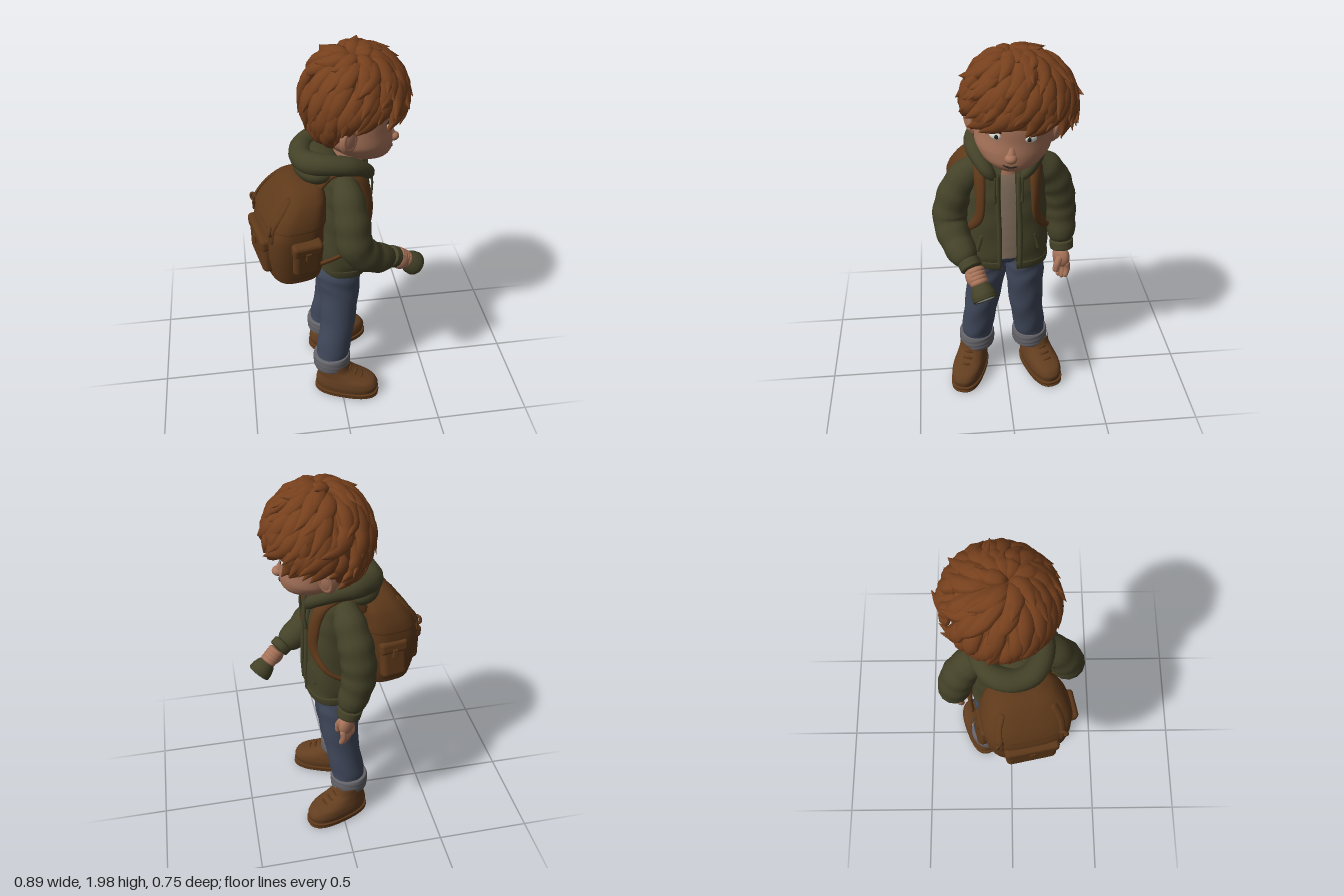
import * as THREE from 'three';
import { mergeVertices } from 'three/addons/utils/BufferGeometryUtils.js';
import { RoundedBoxGeometry } from 'three/addons/geometries/RoundedBoxGeometry.js';

const V = (p) => new THREE.Vector3(...p);
const paint = (name, color, side = THREE.FrontSide) => {
  const m = new THREE.MeshStandardMaterial({ color, side });
  m.name = name;
  return m;
};

function add(parent, name, geo, mat, pos = [0, 0, 0], rot = [0, 0, 0], scale = [1, 1, 1]) {
  const m = new THREE.Mesh(geo, mat);
  m.name = name;
  m.position.set(...pos); m.rotation.set(...rot); m.scale.set(...scale);
  parent.add(m);
}

function group(parent, name, pos, rot = [0, 0, 0]) {
  const g = new THREE.Group();
  g.name = name;
  g.position.set(...pos); g.rotation.set(...rot);
  parent.add(g);
  return g;
}

function smooth(geo) {
  geo.deleteAttribute('normal'); geo.deleteAttribute('uv');
  const g = mergeVertices(geo, 1e-5);
  g.computeVertexNormals();
  return g;
}

// Grid surface from a point rule f(u, v)
function surface(f, nu, nv) {
  const pos = [], idx = [];
  for (let j = 0; j <= nv; j++) for (let i = 0; i <= nu; i++) pos.push(...f(i / nu, j / nv));
  for (let j = 0; j < nv; j++) for (let i = 0; i < nu; i++) {
    const a = j * (nu + 1) + i, b = a + nu + 1;
    idx.push(a, b, a + 1, a + 1, b, b + 1);
  }
  const g = new THREE.BufferGeometry();
  g.setAttribute('position', new THREE.Float32BufferAttribute(pos, 3));
  g.setIndex(idx);
  return smooth(g);
}

// Upright loft through sections [y, cx, cz, rx, rz], listed from the bottom up
function loft(sections, { p = 2, gap = 0, ripple = 0, freq = 40 } = {}) {
  const c = new THREE.CatmullRomCurve3(sections.map((s) => V([s[1], s[0], s[2]])), false, 'catmullrom', 0.4);
  const r = new THREE.CatmullRomCurve3(sections.map((s) => V([s[3], s[4], 0])), false, 'catmullrom', 0.4);
  const pw = (x) => Math.sign(x) * Math.abs(x) ** (2 / p);
  return surface((u, v) => {
    const a = gap + u * (Math.PI * 2 - 2 * gap), o = c.getPoint(v), q = r.getPoint(v);
    const k = 1 + ripple * Math.sin(v * freq + 2 * Math.sin(a * 2));
    return [o.x + Math.max(q.x, 0) * k * pw(Math.cos(a)), o.y, o.z + Math.max(q.y, 0) * k * pw(Math.sin(a))];
  }, 40, sections.length * 6);
}

// Tube of varying radius with rounded ends; can be flattened towards a centre point
function sweep(points, radii, { n = 32, sides = 14, round = 0.08, ripple = 0, flat = null, thin = 0.45 } = {}) {
  const curve = new THREE.CatmullRomCurve3(points.map(V));
  const geo = new THREE.TubeGeometry(curve, n, 1, sides);
  const pos = geo.attributes.position, d = new THREE.Vector3();
  for (let i = 0; i <= n; i++) {
    const u = i / n, P = curve.getPointAt(u), t = u * (radii.length - 1), k = Math.min(Math.floor(t), radii.length - 2);
    let r = THREE.MathUtils.lerp(radii[k], radii[k + 1], t - k) * (1 + ripple * Math.sin(u * 38));
    if (round) r *= Math.sqrt(1 - (1 - Math.min(1, u / round, (1 - u) / round)) ** 2);
    const nrm = flat ? P.clone().sub(V(flat)).normalize() : null;
    for (let j = 0; j <= sides; j++) {
      const id = i * (sides + 1) + j;
      d.fromBufferAttribute(pos, id).sub(P);
      if (nrm) d.addScaledVector(nrm, -(1 - thin) * d.dot(nrm));
      d.multiplyScalar(r).add(P);
      pos.setXYZ(id, d.x, d.y, d.z);
    }
  }
  return smooth(geo);
}

export function createModel() {
  const root = new THREE.Group();
  root.name = 'hikerBoy';
  const skin = paint('skin', 0xa8745a), hairMat = paint('hair', 0x76401d, THREE.DoubleSide);
  const green = paint('jacketGreen', 0x444228, THREE.DoubleSide), brown = paint('packBrown', 0x5e391a);
  const denim = paint('denim', 0x40485b), cuffGrey = paint('cuffGrey', 0x64646a);
  const leather = paint('bootLeather', 0x633e20), knit = paint('shirtKnit', 0x84715f);
  const dark = paint('dark', 0x2b211a), white = paint('paleGlass', 0xdfe8e4);
  const ball = new THREE.SphereGeometry(1, 28, 20);

  // Legs, cuffs and boots, toes turned out
  add(root, 'hips', loft([[0.775, -0.01, 0, 0, 0], [0.78, -0.01, 0, 0.05, 0.06], [0.83, -0.008, 0, 0.098, 0.17],
    [0.93, 0, 0, 0.115, 0.185]]), denim);
  for (const s of [1, -1]) {
    const zo = s > 0 ? 0.006 : 0.012;
    add(root, 'trouserLeg', loft([[0.2, -0.05, s * 0.155 + zo, 0.085, 0.08], [0.3, -0.04, s * 0.15 + zo, 0.092, 0.087],
      [0.5, -0.01, s * 0.125 + zo, 0.094, 0.092], [0.7, -0.002, s * 0.104, 0.108, 0.102], [0.8, -0.01, s * 0.1, 0.117, 0.102],
      [0.9, 0, s * 0.085, 0.1, 0.088]], { ripple: 0.022, freq: 34 }), denim);
    add(root, 'trouserCuff', loft([[0.17, -0.05, s * 0.155 + zo, 0.07, 0.07], [0.172, -0.05, s * 0.155 + zo, 0.098, 0.094],
      [0.21, -0.05, s * 0.155 + zo, 0.103, 0.1], [0.255, -0.05, s * 0.155 + zo, 0.1, 0.096], [0.26, -0.05, s * 0.155 + zo, 0.08, 0.075]],
    { ripple: 0.01 }), cuffGrey);
    const boot = group(root, 'boot', [-0.05, 0, s * 0.178 + zo / 2], [0, -0.34 * s, 0]);
    add(boot, 'sole', loft([[0, 0.085, 0, 0, 0], [0.001, 0.085, 0, 0.17, 0.08], [0.02, 0.085, 0, 0.178, 0.088],
      [0.035, 0.085, 0, 0.176, 0.087], [0.036, 0.085, 0, 0.1, 0.05]], { p: 2.6 }), brown);
    add(boot, 'upper', loft([[0.03, 0.085, 0, 0.17, 0.082], [0.07, 0.085, 0, 0.177, 0.088], [0.105, 0.076, 0, 0.162, 0.084],
      [0.132, 0.045, 0, 0.122, 0.077], [0.165, 0.012, 0, 0.094, 0.072], [0.21, 0, 0, 0.085, 0.07]], { p: 2.4 }), leather);
    for (let i = 0; i < 3; i++) {
      const x = 0.1 + i * 0.033, y = 0.17 - i * 0.018;
      add(boot, 'lace', sweep([[x - 0.015, y - 0.025, -0.05], [x + 0.004, y, 0], [x - 0.015, y - 0.025, 0.05]], [0.007, 0.007], { sides: 8 }), brown);
    }
  }

  // Shirt and open jacket
  add(root, 'shirt', loft([[0.88, 0.015, 0, 0.128, 0.17], [1.1, 0.015, 0, 0.125, 0.18], [1.3, 0.015, 0, 0.112, 0.17],
    [1.38, 0.02, 0, 0.09, 0.12], [1.42, 0.03, 0, 0.075, 0.075], [1.43, 0.03, 0, 0.05, 0.05]], { ripple: 0.008, freq: 110 }), knit);
  const body = [[0.83, 0.022, -0.005, 0.138, 0.2], [0.9, 0.022, 0, 0.144, 0.214], [1.1, 0.02, 0, 0.138, 0.205],
    [1.25, 0.018, 0, 0.132, 0.195], [1.36, 0.01, 0, 0.12, 0.18], [1.43, 0.0, 0, 0.095, 0.14], [1.46, 0, 0, 0.085, 0.1]];
  add(root, 'jacketBody', loft(body, { p: 2.5, gap: 0.12, ripple: 0.012 }), green);
  add(root, 'jacketHem', loft([[0.82, 0.022, -0.005, 0.12, 0.19], [0.825, 0.022, -0.005, 0.14, 0.208],
    [0.865, 0.022, -0.003, 0.146, 0.213], [0.875, 0.022, 0, 0.13, 0.2]], { p: 2.5, gap: 0.12 }), green);
  for (const s of [1, -1]) {
    add(root, 'jacketEdge', sweep([[0.158, 0.825, s * 0.052 - 0.008], [0.164, 0.95, s * 0.052 - 0.008], [0.158, 1.1, s * 0.052 - 0.006],
      [0.15, 1.25, s * 0.052], [0.13, 1.38, s * 0.052]], [0.012, 0.012], { sides: 10, round: 0.02 }), green);
    add(root, 'drawstring', sweep([[0.16, 1.37, s * 0.065], [0.165, 1.3, s * 0.067], [0.158, 1.22, s * 0.066]], [0.006, 0.006, 0.009], { sides: 8 }), green);
    add(root, 'pocketWelt', sweep([[0.135, 1.03, s * 0.13], [0.133, 0.93, s * 0.155]], [0.011, 0.011], { sides: 8 }), green);
  }
  const rim = [[0.15, 1.345, 0.06], [0.13, 1.405, 0.108], [0.06, 1.455, 0.146], [-0.06, 1.478, 0.148], [-0.15, 1.465, 0.09]];
  add(root, 'hoodRim', sweep([...rim, [-0.175, 1.455, 0], ...rim.map(([x, y, z]) => [x, y, -z]).reverse()],
    [0.028, 0.036, 0.046, 0.052, 0.056, 0.058, 0.056, 0.052, 0.046, 0.036, 0.028], { n: 64, ripple: 0.03 }), green);
  add(root, 'hoodBack', ball, green, [-0.1, 1.415, 0], [0, 0, 0], [0.12, 0.08, 0.17]);
  add(root, 'neck', new THREE.CylinderGeometry(0.065, 0.075, 0.16, 24), skin, [0.05, 1.44, -0.005]);

  // Right arm, bent and holding the torch
  add(root, 'rightSleeve', sweep([[0.01, 1.385, 0.1], [0.025, 1.32, 0.195], [0.035, 1.22, 0.255], [0.055, 1.085, 0.285], [0.14, 0.995, 0.255], [0.255, 0.94, 0.2]],
    [0.055, 0.078, 0.086, 0.089, 0.086, 0.078, 0.06], { n: 52, ripple: 0.03 }), green);
  add(root, 'rightCuff', sweep([[0.235, 0.955, 0.21], [0.28, 0.923, 0.188]], [0.057, 0.055], { n: 14, round: 0.2 }), green);
  add(root, 'rightPalm', ball, skin, [0.3, 0.898, 0.18], [0, 0.4, -0.7], [0.058, 0.049, 0.046]);
  const torch = group(root, 'torch', [0.39, 0.826, 0.135]);
  torch.quaternion.setFromUnitVectors(V([0, 1, 0]), V([0.69, -0.66, -0.28]).normalize());
  const bell = [[0, -0.2], [0.024, -0.198], [0.026, -0.1], [0.03, -0.085], [0.05, -0.06], [0.061, -0.025], [0.062, 0], [0.05, 0], [0.046, -0.015]];
  add(torch, 'torchBody', new THREE.LatheGeometry(bell.map((q) => new THREE.Vector2(...q)), 28), green);
  add(torch, 'torchRim', new THREE.TorusGeometry(0.056, 0.007, 8, 28), green, [0, 0, 0], [Math.PI / 2, 0, 0]);
  add(torch, 'lens', new THREE.CylinderGeometry(0.05, 0.05, 0.006, 28), white, [0, 0.001, 0]);
  for (let i = 0; i < 4; i++) {
    add(torch, 'grippingFinger', new THREE.TorusGeometry(0.031, 0.016, 10, 20, 4.2), skin, [0, -0.085 - i * 0.02, 0], [Math.PI / 2, 0, 0.5]);
  }

  // Left arm, hanging
  add(root, 'leftSleeve', sweep([[-0.015, 1.385, -0.1], [-0.03, 1.32, -0.195], [-0.052, 1.21, -0.258], [-0.06, 1.06, -0.288], [-0.01, 0.86, -0.3]],
    [0.055, 0.08, 0.088, 0.088, 0.08, 0.066], { n: 52, ripple: 0.03 }), green);
  add(root, 'leftCuff', sweep([[-0.02, 0.885, -0.298], [-0.005, 0.82, -0.303]], [0.065, 0.062], { n: 14, round: 0.2 }), green);
  const hand = group(root, 'leftHand', [0, 0.775, -0.3], [0, 0.75, 0]);
  add(hand, 'palm', ball, skin, [0, 0, 0], [0, 0, 0.1], [0.052, 0.064, 0.035]);
  for (let i = 0; i < 4; i++) {
    const x = -0.036 + i * 0.024, e = -0.118 - (i === 1 || i === 2 ? 0.015 : 0);
    add(hand, 'finger', sweep([[x, -0.015, 0], [x + 0.002, -0.068, -0.008], [x + 0.003, e, 0.012]], [0.018, 0.017, 0.012], { n: 14, sides: 10, round: 0.15 }), skin);
  }
  add(hand, 'thumb', sweep([[0.012, 0.02, 0.02], [0.01, -0.03, 0.047], [0.012, -0.075, 0.048]], [0.019, 0.018, 0.012], { n: 14, sides: 10, round: 0.15 }), skin);

  // Rucksack
  const pack = group(root, 'rucksack', [-0.247, 0, 0.066], [0, 0.2, 0]);
  const shell = [[0.85, 0, 0, 0, 0], [0.855, 0, 0, 0.11, 0.165], [0.89, 0, 0, 0.138, 0.188], [1.02, -0.008, 0, 0.15, 0.21],
    [1.14, -0.005, 0, 0.15, 0.218], [1.23, 0.015, 0, 0.135, 0.21]];
  const lid = [[1.19, 0.005, 0, 0.14, 0.208], [1.195, 0.005, 0, 0.154, 0.224], [1.25, 0.02, 0, 0.14, 0.213], [1.31, 0.045, 0, 0.118, 0.185],
    [1.355, 0.062, 0, 0.09, 0.14], [1.377, 0.07, 0, 0.05, 0.08], [1.38, 0.07, 0, 0, 0]];
  add(pack, 'packBody', loft(shell, { p: 3.2 }), brown);
  add(pack, 'packLid', loft(lid, { p: 3 }), brown);
  const pocket = (name, pos, [x, y, z], rot) => {
    const g = group(pack, name, pos, rot);
    add(g, 'pouch', new RoundedBoxGeometry(x, y, z, 4, 0.028), brown);
    add(g, 'pouchFlap', new RoundedBoxGeometry(x + 0.012, y * 0.34, z + 0.012, 4, 0.02), brown, [0, y * 0.36, 0]);
    add(g, 'pouchTab', new RoundedBoxGeometry(0.03, 0.05, z + 0.022, 2, 0.006), brown, [0, y * 0.2, 0]);
  };
  pocket('backPocket', [-0.143, 1.02, 0], [0.26, 0.2, 0.07], [0, -Math.PI / 2, 0]);
  for (const s of [1, -1]) {
    pocket('sidePocket', [0.02, 1.035, s * 0.21], [0.14, 0.2, 0.06], [0.16, s > 0 ? 0 : Math.PI, 0]);
    add(pack, 'lidStrap', sweep([[-0.026, 1.34, s * 0.12], [-0.078, 1.28, s * 0.148], [-0.132, 1.2, s * 0.155], [-0.14, 1.12, s * 0.155]],
      [0.018, 0.018], { sides: 10, flat: [0.1, 1.1, 0] }), brown);
    add(pack, 'buckle', new THREE.TorusGeometry(0.02, 0.008, 8, 20), brown, [-0.138, 1.195, s * 0.155], [0, Math.PI / 2 - s * 0.5, 0]);
    add(root, 'shoulderStrap', sweep([[-0.13, 1.33, s * 0.13], [-0.03, 1.43, s * 0.13], [0.075, 1.395, s * 0.135], [0.128, 1.27, s * 0.135],
      [0.13, 1.13, s * 0.145], [0.07, 1.03, s * 0.2], [-0.1, 0.95, s * 0.215], [-0.16, 0.93, s * 0.2]],
    [0.03, 0.033, 0.033, 0.033, 0.028, 0.018, 0.016, 0.016], { n: 60, flat: [0.02, 1.17, 0], thin: 0.5, round: 0.03 }), brown);
  }
  add(pack, 'carryLoop', sweep([[0.07, 1.36, -0.05], [0.06, 1.405, 0], [0.07, 1.36, 0.05]], [0.01, 0.01], { sides: 8 }), brown);

  // Head, slightly turned and tilted
  const head = group(root, 'head', [0.085, 1.6, -0.03], [-0.08, -0.13, 0]);
  add(head, 'skull', loft([[-0.178, 0.085, 0, 0, 0], [-0.172, 0.082, 0, 0.05, 0.05], [-0.15, 0.065, 0, 0.102, 0.1], [-0.12, 0.044, 0, 0.14, 0.142],
    [-0.07, 0.017, 0, 0.17, 0.177], [-0.01, 0.005, 0, 0.177, 0.185], [0.06, 0, 0, 0.182, 0.186], [0.16, -0.005, 0, 0.17, 0.175],
    [0.24, -0.005, 0, 0.1, 0.1], [0.26, -0.005, 0, 0, 0]]), skin);
  add(head, 'nose', ball, skin, [0.19, -0.077, 0], [0, 0, 0], [0.029, 0.023, 0.029]);
  add(head, 'noseBridge', sweep([[0.155, 0.01, 0], [0.167, -0.03, 0], [0.183, -0.072, 0]], [0.014, 0.018, 0.022], { n: 14 }), skin);
  add(head, 'mouth', sweep([[0.158, -0.1, -0.062], [0.178, -0.118, -0.03], [0.185, -0.124, 0], [0.178, -0.118, 0.03], [0.158, -0.1, 0.062]],
    [0.002, 0.004, 0.004, 0.004, 0.002], { sides: 8 }), dark);
  for (const s of [1, -1]) {
    add(head, 'eyeWhite', ball, white, [0.154, 0.02, s * 0.077], [0, -s * 0.4, 0], [0.02, 0.024, 0.033]);
    add(head, 'iris', ball, dark, [0.17, 0.018, s * 0.074], [0, -s * 0.25, 0], [0.007, 0.013, 0.012]);
    add(head, 'upperLid', sweep([[0.166, 0.027, s * 0.042], [0.174, 0.044, s * 0.07], [0.148, 0.03, s * 0.112]], [0.004, 0.006, 0.004], { n: 14, sides: 8 }), dark);
    add(head, 'eyebrow', sweep([[0.18, 0.068, s * 0.04], [0.168, 0.08, s * 0.08], [0.142, 0.068, s * 0.12]], [0.008, 0.011, 0.005], { n: 14, sides: 8 }), hairMat);
    add(head, 'ear', ball, skin, [-0.03, -0.01, s * 0.197], [s * 0.2, s * 0.6, 0], [0.047, 0.07, 0.026]);
    add(head, 'earRim', new THREE.TorusGeometry(0.034, 0.01, 8, 24), skin, [-0.024, -0.002, s * 0.213], [s * 0.2, s * 0.6, 0], [0.9, 1.4, 1]);
  }

  // Hair: a cap with shaggy tapered locks swirling from an off-centre crown
  const hair = group(head, 'hair', [0, 0.135, -0.012]);
  const end = (a) => 1.86 + 1.08 * Math.min(1, Math.max(0, (-Math.cos(a) - 0.1) * 1.6));
  const scalp = (a, f, k) => {
    const phi = f * end(a), top = phi < Math.PI / 2, h = top ? Math.sin(phi) : 1 - 0.22 * (phi - Math.PI / 2) ** 2;
    const x = h * Math.cos(a), z = h * Math.sin(a) + (top ? 0.28 * (1 - h) : 0);
    return [0.228 * k * x, 0.212 * (top ? k * Math.sqrt(Math.max(0, 1 - x * x - z * z)) : Math.cos(phi)), 0.236 * k * z];
  };
  add(hair, 'hairCap', surface((u, v) => scalp(u * Math.PI * 2, 1 - v, 0.95), 48, 24), hairMat);
  let seed = 11;
  const rnd = () => (seed = (seed * 16807) % 2147483647) / 2147483647;
  // Rows: start, end, number of locks, lift of the tips
  const rows = [[0.02, 0.28, 6, 1.14], [0.01, 0.46, 9, 1.12], [0.1, 0.66, 14, 1.12], [0.28, 0.84, 17, 1.14], [0.45, 0.99, 20, 1.14], [0.62, 1.07, 24, 1.1]];
  for (const [f0, f1, count, lift] of rows) for (let i = 0; i < count; i++) {
    const a = ((i + f0 * 3 + rnd() * 0.7) / count) * Math.PI * 2, len = (f1 - f0) * (0.8 + rnd() * 0.32), bend = 0.2 + rnd() * 0.5;
    const pts = [[0, 0.94], [0.35, 1.05], [0.7, 1.08], [1, lift + rnd() * 0.13]].map(([t, k]) => scalp(a + bend * t * t, f0 + len * t, k));
    add(hair, 'hairLock', sweep(pts, [0.02, 0.037, 0.041, 0.026, 0.001], { n: 14, sides: 8, round: 0, flat: [0, -0.02, 0], thin: 0.65 }), hairMat);
  }
  return root;
}
